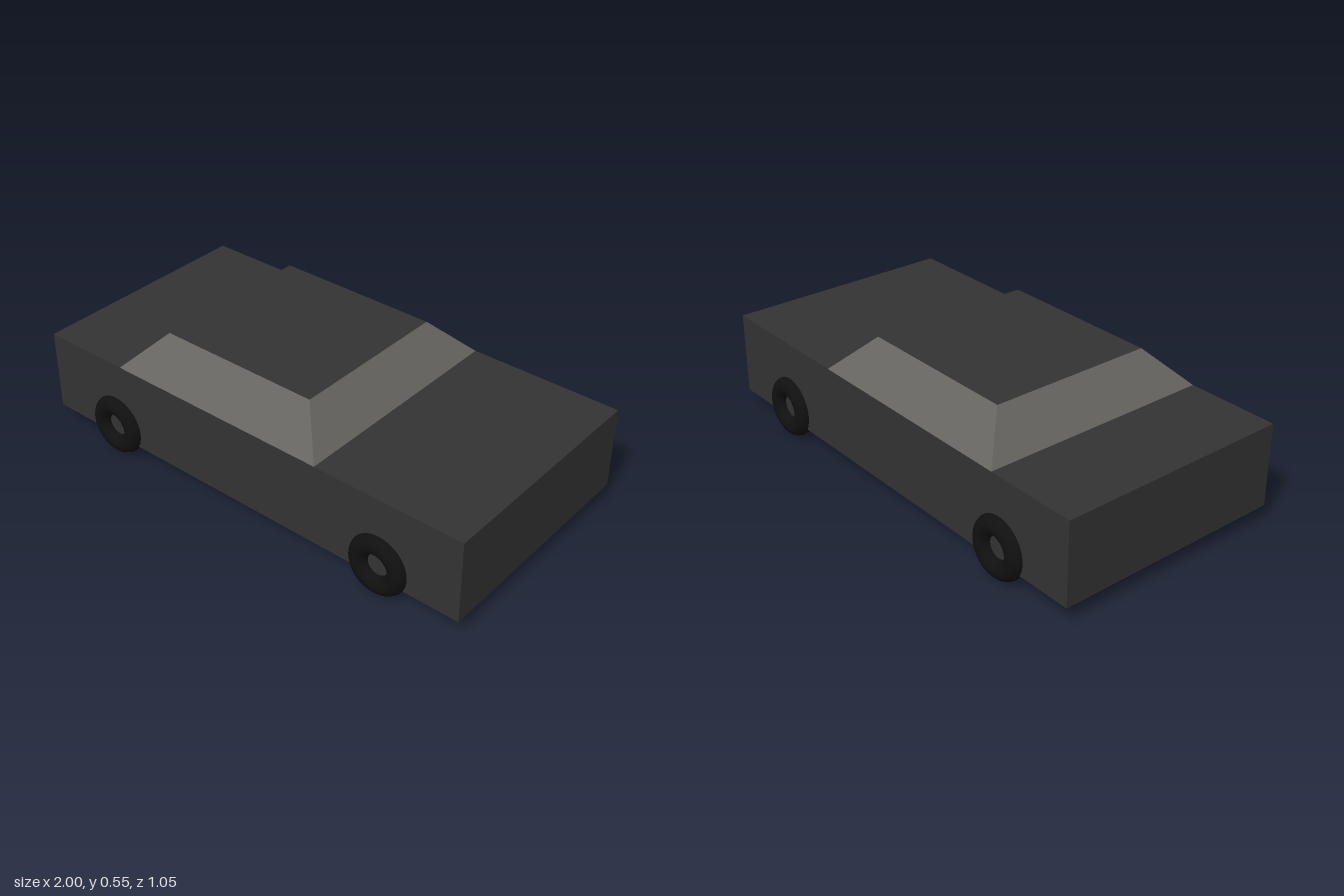
import * as THREE from 'three';

const material = (color) => new THREE.MeshStandardMaterial({ color });

// Flat four-cornered panel, corners counter-clockwise seen from outside
function panel(name, corners, mat) {
  const geometry = new THREE.BufferGeometry();
  geometry.setAttribute('position', new THREE.Float32BufferAttribute(corners.flat(), 3));
  geometry.setIndex([0, 1, 2, 0, 2, 3]);
  geometry.computeVertexNormals();
  const mesh = new THREE.Mesh(geometry, mat);
  mesh.name = name;
  return mesh;
}

// Box spanning x0..x1 and y0..y1 over the full width of the car
function section(name, x0, x1, y0, y1, width, mat) {
  const mesh = new THREE.Mesh(new THREE.BoxGeometry(x1 - x0, y1 - y0, width), mat);
  mesh.position.set((x0 + x1) / 2, (y0 + y1) / 2, 0);
  mesh.name = name;
  return mesh;
}

// Corners of a horizontal rectangle, starting at -x +z
const rectangle = (x0, x1, z, y) => [[x0, y, z], [x1, y, z], [x1, y, -z], [x0, y, -z]];

export function createModel() {
  const car = new THREE.Group();
  car.name = 'car';
  const paint = material(0x333333);
  const glass = material(0x666460);
  const rubber = material(0x101010);
  const navy = material(0x10102e);

  const halfWidth = 0.49, floor = 0.065, deck = 0.41, roofY = 0.555;
  const cabinBack = -0.615, cabinFront = 0.365;

  // Lower body in three sections, with a coloured floor under the short end
  car.add(
    section('trunk', -1, cabinBack, floor + 0.003, deck, halfWidth * 2, paint),
    section('trunkFloor', -1, cabinBack, floor, floor + 0.003, halfWidth * 2, navy),
    section('middleBody', cabinBack, cabinFront, floor, deck, halfWidth * 2, paint),
    section('hood', cabinFront, 1, floor, deck, halfWidth * 2, paint)
  );

  // Cabin: four sloping windows and a flat roof
  const cabin = new THREE.Group();
  cabin.name = 'cabin';
  const base = rectangle(cabinBack, cabinFront, halfWidth, deck);
  const top = rectangle(-0.475, 0.225, 0.347, roofY);
  ['leftSideWindow', 'windshield', 'rightSideWindow', 'rearWindow'].forEach((name, i) => {
    const j = (i + 1) % 4;
    cabin.add(panel(name, [base[i], base[j], top[j], top[i]], glass));
  });
  cabin.add(panel('roof', top, paint));
  car.add(cabin);

  // Ring-shaped tyres half sunk into the sides
  const tyre = new THREE.TorusGeometry(0.085, 0.041, 20, 48);
  for (const x of [-0.655, 0.655]) {
    for (const z of [-0.484, 0.484]) {
      const wheel = new THREE.Mesh(tyre, rubber);
      wheel.position.set(x, 0.127, z);
      wheel.name = (x > 0 ? 'front' : 'rear') + 'Wheel';
      car.add(wheel);
    }
  }
  return car;
}
